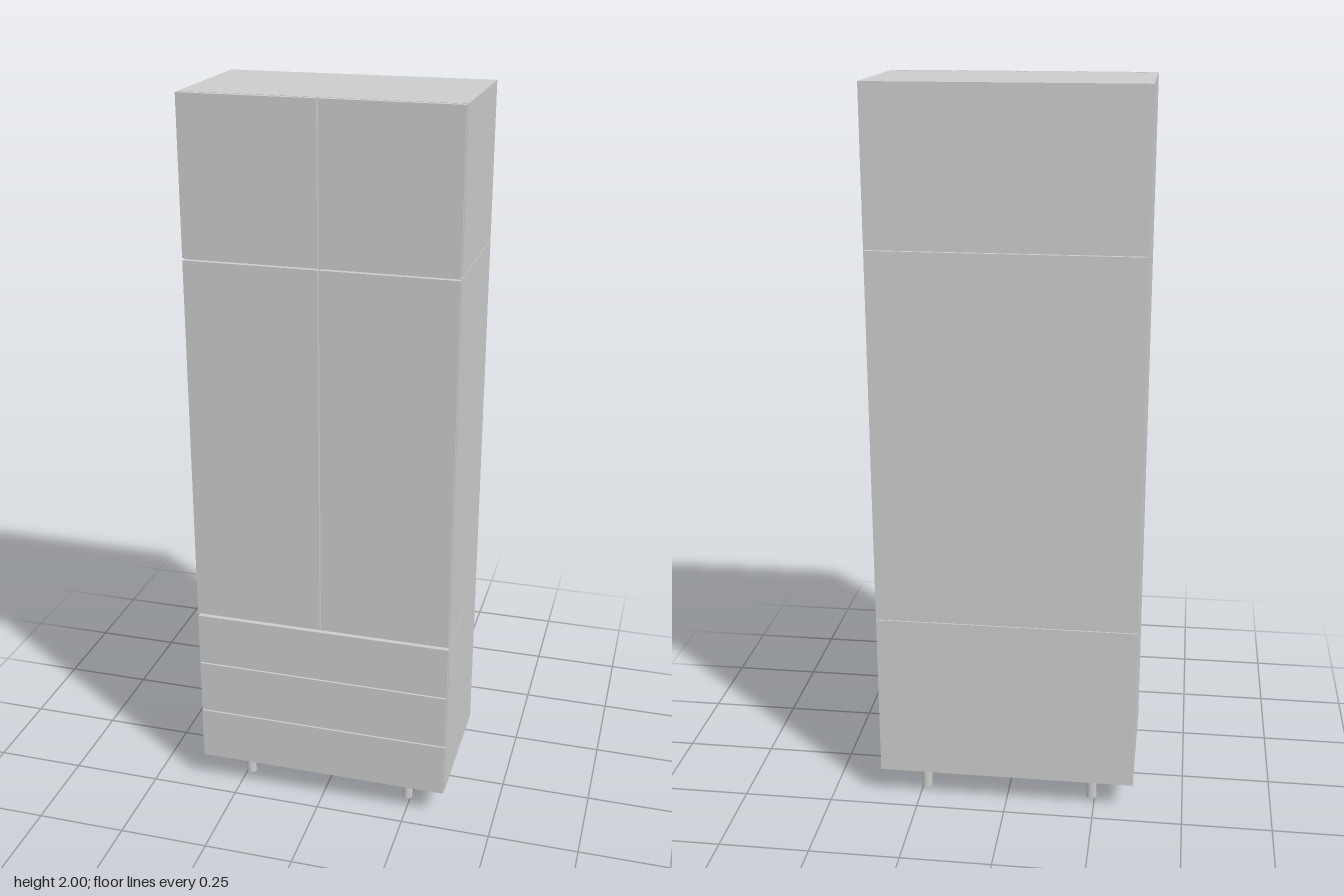
import * as THREE from 'three';

const W = 0.72, BACK = -0.206, FACE = 0.187, T = 0.015;
const DOOR_Z0 = 0.191, DOOR_Z1 = 0.205;

export function createModel() {
  const model = new THREE.Group();
  model.name = 'wardrobe';
  const material = new THREE.MeshStandardMaterial({ color: 0xcccccc });

  // Box given by its minimum and maximum on each axis
  const panel = (parent, name, x0, x1, y0, y1, z0, z1) => {
    const mesh = new THREE.Mesh(new THREE.BoxGeometry(x1 - x0, y1 - y0, z1 - z0), material);
    mesh.position.set((x0 + x1) / 2, (y0 + y1) / 2, (z0 + z1) / 2);
    mesh.name = name;
    parent.add(mesh);
  };

  // Open-fronted carcass: two sides, top, bottom and back
  const carcass = (name, y0, y1) => {
    const g = new THREE.Group();
    g.name = name;
    const h = W / 2, i = h - T;
    panel(g, 'leftSide', i, h, y0, y1, BACK, FACE);
    panel(g, 'rightSide', -h, -i, y0, y1, BACK, FACE);
    panel(g, 'bottomPanel', -i, i, y0, y0 + T, BACK, FACE);
    panel(g, 'topPanel', -i, i, y1 - T, y1, BACK, FACE);
    panel(g, 'backPanel', -i, i, y0 + T, y1 - T, BACK, BACK + 0.005);
    model.add(g);
  };
  carcass('drawerCarcass', 0.085, 0.556);
  carcass('mainCarcass', 0.558, 1.584);
  carcass('upperCarcass', 1.586, 2);

  // Pairs of doors
  for (const [name, y0, y1] of [['Door', 0.561, 1.582], ['UpperDoor', 1.588, 2]]) {
    panel(model, 'left' + name, 0.002, 0.359, y0, y1, DOOR_Z0, DOOR_Z1);
    panel(model, 'right' + name, -0.359, -0.002, y0, y1, DOOR_Z0, DOOR_Z1);
  }

  // Drawers: a full-width front on an open box
  [[0.085, 0.238], [0.242, 0.397], [0.401, 0.552]].forEach(([y0, y1], n) => {
    const g = new THREE.Group();
    g.name = 'drawer' + (n + 1);
    const b0 = y0 + 0.025, b1 = y1 - 0.03, x = 0.343, z = -0.18;
    panel(g, 'drawerFront', -0.359, 0.359, y0, y1, DOOR_Z0, DOOR_Z1);
    panel(g, 'drawerBase', -x, x, b0, b0 + 0.006, z, DOOR_Z0);
    panel(g, 'drawerLeftSide', x - 0.012, x, b0, b1, z, DOOR_Z0);
    panel(g, 'drawerRightSide', -x, -x + 0.012, b0, b1, z, DOOR_Z0);
    panel(g, 'drawerBack', -x + 0.012, x - 0.012, b0, b1, z, z + 0.012);
    model.add(g);
  });

  // Round legs
  const legGeometry = new THREE.CylinderGeometry(0.015, 0.015, 0.085, 24);
  for (const x of [-0.24, 0.24]) {
    for (const z of [-0.136, 0.128]) {
      const leg = new THREE.Mesh(legGeometry, material);
      leg.position.set(x, 0.0425, z);
      leg.name = 'leg';
      model.add(leg);
    }
  }
  return model;
}
